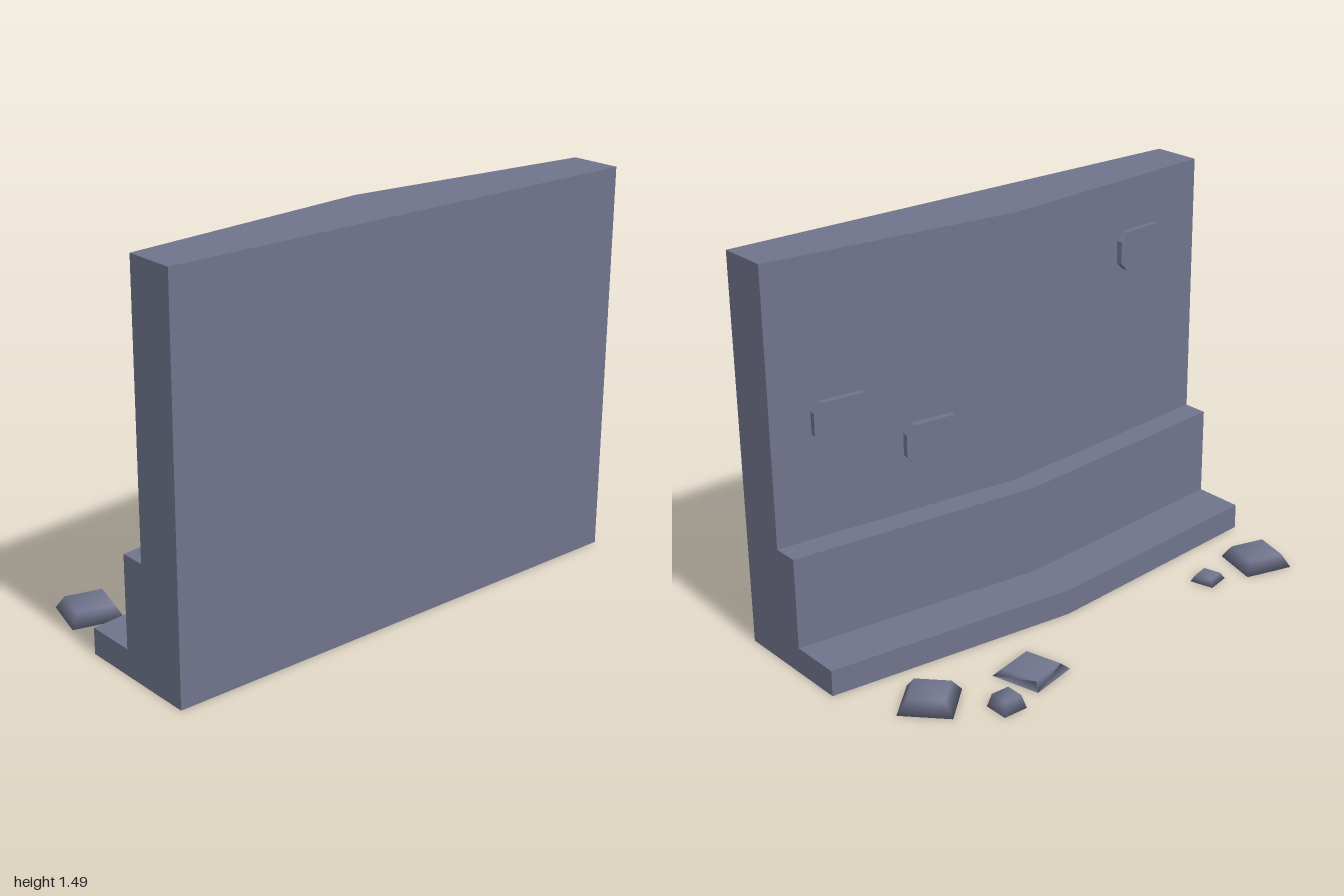
import * as THREE from 'three';
import { mergeVertices } from 'three/addons/utils/BufferGeometryUtils.js';

const stone = new THREE.MeshStandardMaterial({ color: 0x70748c });
stone.name = 'slate stone';

// Cross-sections along the wall: x, z of the front face, z of the upper back face
const stations = [
  { x: -0.995, front: 0.508, back: 0.31 },
  { x: 0, front: 0.489, back: 0.193 },
  { x: 0.995, front: 0.47, back: 0.272 },
];
const TOP = 1.49, STEP = 0.45, BASE = 0.1;

function point(s, z, y) {
  // the ends lean slightly, square to the front face
  return [s.x + (z - 0.27) * 0.02, y, z];
}

function wallGeometry() {
  const pos = [], index = [];
  const add = (p) => pos.push(...p) / 3 - 1;
  const quad = (a, b, c, d) => index.push(a, b, c, a, c, d);
  const profile = (s) => [
    [s.front, 0], [s.front, TOP], [s.back, TOP], [s.back, STEP],
    [s.back - 0.1, STEP], [s.back - 0.1, BASE], [s.back - 0.3, BASE], [s.back - 0.3, 0],
  ].map(([z, y]) => point(s, z, y));
  const rings = stations.map(profile);

  // one strip per profile edge, smooth along the wall and sharp between strips
  for (let i = 0; i < 8; i++) {
    const j = (i + 1) % 8;
    const ids = rings.map((r) => [add(r[i]), add(r[j])]);
    for (let k = 0; k < 2; k++) quad(ids[k][0], ids[k + 1][0], ids[k + 1][1], ids[k][1]);
  }

  // stepped end faces, one rectangle per tier
  for (const s of [stations[0], stations[2]]) {
    const tiers = [
      [s.front, s.back, TOP], [s.back, s.back - 0.1, STEP], [s.back - 0.1, s.back - 0.3, BASE],
    ];
    for (const [z0, z1, h] of tiers) {
      const c = [[z0, 0], [z1, 0], [z1, h], [z0, h]].map(([z, y]) => add(point(s, z, y)));
      if (s.x < 0) c.reverse();
      quad(...c);
    }
  }
  const g = new THREE.BufferGeometry();
  g.setAttribute('position', new THREE.Float32BufferAttribute(pos, 3));
  g.setIndex(index);
  g.computeVertexNormals();
  return g;
}

// Raised brick with clipped corners
function brickGeometry(w, h, c) {
  const x = w / 2, y = h / 2;
  const outline = [
    [-x + c, -y], [x - c, -y], [x, -y + c], [x, y - c],
    [x - c, y], [-x + c, y], [-x, y - c], [-x, -y + c],
  ].map(([a, b]) => new THREE.Vector2(a, b));
  return new THREE.ExtrudeGeometry(new THREE.Shape(outline), { depth: 0.034, bevelEnabled: false });
}

// Soft-shaded rubble block with a smaller top
function rubbleGeometry(size, height, topScale) {
  let g = new THREE.BoxGeometry(size, height, size);
  g.translate(0, height / 2, 0);
  const p = g.attributes.position;
  for (let i = 0; i < p.count; i++) {
    if (p.getY(i) > height / 2) p.setXYZ(i, p.getX(i) * topScale, height, p.getZ(i) * topScale);
  }
  g.deleteAttribute('normal');
  g.deleteAttribute('uv');
  g = mergeVertices(g);
  g.computeVertexNormals();
  return g;
}

export function createModel() {
  const model = new THREE.Group();
  model.name = 'ruinedWall';
  const add = (name, geometry) => {
    const mesh = new THREE.Mesh(geometry, stone);
    mesh.name = name;
    model.add(mesh);
    return mesh;
  };

  add('steppedWall', wallGeometry());

  // bricks standing out of the back face: x, y
  for (const [x, y] of [[0.72, 0.89], [0.36, 0.717], [-0.665, 1.215]]) {
    const slope = x > 0 ? 0.079 : -0.118;
    const brick = add('raisedBrick', brickGeometry(0.235, 0.15, 0.032));
    brick.position.set(x, y, 0.203 + slope * x);
    brick.rotation.y = Math.atan2(slope, -1);
  }

  // rubble on the ground: x, z, size, height, top scale, turn
  const rubble = [
    [-0.85, -0.258, 0.196, 0.05, 0.72, -0.24],
    [-0.598, -0.245, 0.097, 0.025, 0.72, 0.28],
    [0.36, -0.342, 0.197, 0.025, 0.75, 0.27],
    [0.568, -0.465, 0.097, 0.05, 0.74, 0.02],
    [0.753, -0.272, 0.195, 0.05, 0.68, 0.77],
  ];
  for (const [x, z, size, height, top, turn] of rubble) {
    const rock = add('rubble', rubbleGeometry(size, height, top));
    rock.position.set(x, 0, z);
    rock.rotation.y = turn;
  }
  return model;
}
